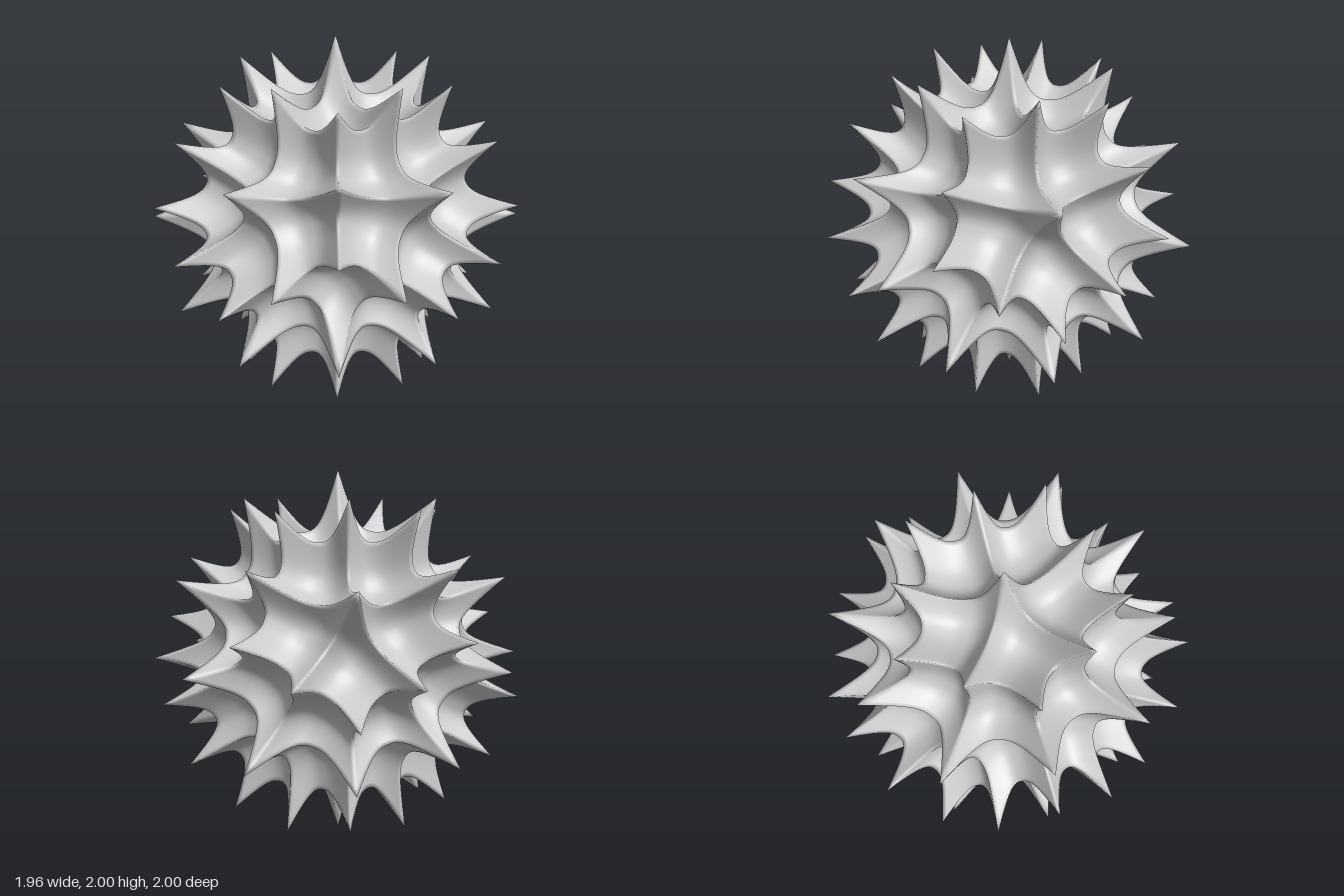
import * as THREE from 'three';
import { mergeVertices } from 'three/addons/utils/BufferGeometryUtils.js';

const N = 28; // grid steps per kite patch

// The 12 five-fold directions: two poles and two rings
function fiveFoldDirections() {
  const dirs = [new THREE.Vector3(0, 1, 0), new THREE.Vector3(0, -1, 0)];
  const r = 2 / Math.sqrt(5), h = 1 / Math.sqrt(5);
  for (let i = 0; i < 5; i++) {
    const a = (i * 2 * Math.PI) / 5;
    const p = new THREE.Vector3(r * Math.cos(a), h, r * Math.sin(a));
    dirs.push(p, p.clone().negate());
  }
  return dirs;
}

// Radius: 1 at the four corner tips, arched ridges on the edges, a hollow between them
function radius(u, v) {
  const a = Math.abs(2 * u - 1) ** 2.4, b = Math.abs(2 * v - 1) ** 2.4;
  const saddle = 0.33 - 0.06 * (u + v);
  return 1 - saddle * (1 - a * b) - 0.12 * (1 - a) * (1 - b);
}

// One concave kite stretched between four spike tips
function addKite(positions, indices, a, b, c, d) {
  const start = positions.length / 3;
  const p = new THREE.Vector3();
  for (let j = 0; j <= N; j++) {
    for (let i = 0; i <= N; i++) {
      const u = i / N, v = j / N;
      p.set(0, 0, 0)
        .addScaledVector(a, (1 - u) * (1 - v))
        .addScaledVector(b, u * (1 - v))
        .addScaledVector(c, u * v)
        .addScaledVector(d, (1 - u) * v)
        .setLength(radius(u, v));
      positions.push(p.x, p.y, p.z);
    }
  }
  for (let j = 0; j < N; j++) {
    for (let i = 0; i < N; i++) {
      const k = start + j * (N + 1) + i, m = k + N + 1;
      indices.push(k, k + 1, m + 1, k, m + 1, m);
    }
  }
}

export function createModel() {
  const positions = [], indices = [];
  const dirs = fiveFoldDirections();
  const near = (p, q) => p.dot(q) > 0.4 && p.dot(q) < 0.5;
  const mid = (...ps) => ps.reduce((s, p) => s.add(p), new THREE.Vector3()).normalize();

  // Each triangle of neighbouring directions splits into three kites
  for (let i = 0; i < 12; i++) for (let j = i + 1; j < 12; j++) for (let k = j + 1; k < 12; k++) {
    let [a, b, c] = [dirs[i], dirs[j], dirs[k]];
    if (!near(a, b) || !near(b, c) || !near(a, c)) continue;
    if (b.clone().cross(c).dot(a) < 0) [b, c] = [c, b];
    const centre = mid(a, b, c);
    for (const [p, q, s] of [[a, b, c], [b, c, a], [c, a, b]])
      addKite(positions, indices, p, mid(p, q), centre, mid(p, s));
  }

  let geometry = new THREE.BufferGeometry();
  geometry.setAttribute('position', new THREE.Float32BufferAttribute(positions, 3));
  geometry.setIndex(indices);
  geometry = mergeVertices(geometry, 1e-5); // smooth across the ridges
  geometry.computeVertexNormals();

  const shell = new THREE.Mesh(geometry, new THREE.MeshStandardMaterial({ color: 0xcccccc }));
  shell.name = 'spikedShell';
  shell.position.y = 1;
  const group = new THREE.Group();
  group.name = 'spikedBall';
  group.add(shell);
  return group;
}
